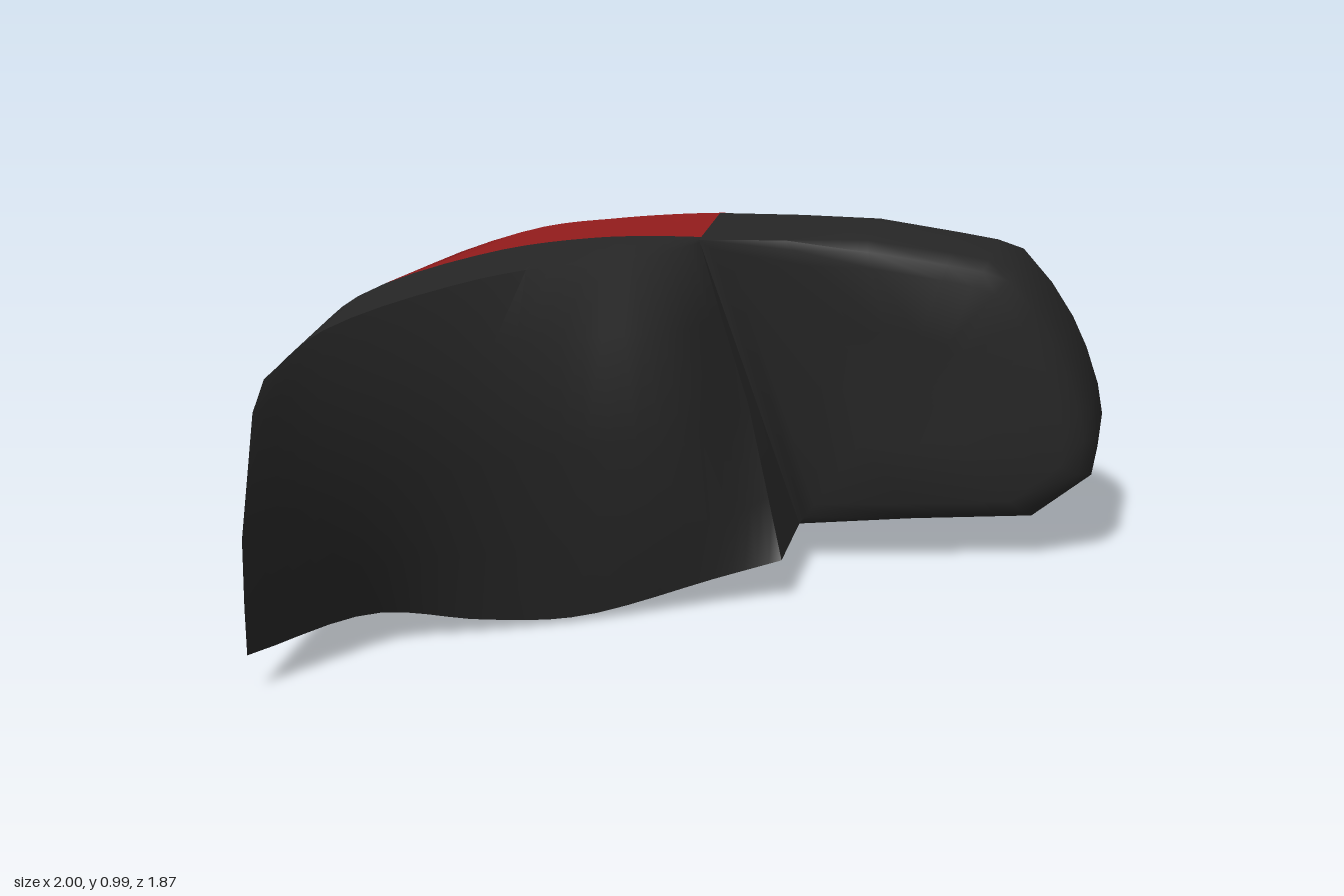
import * as THREE from 'three';
import { toCreasedNormals } from 'three/addons/utils/BufferGeometryUtils.js';

const V = (p) => new THREE.Vector3(...p);

// Surface through rows of points; every row has the same number of points
function skin(rows, closed = false) {
  const n = rows[0].length, index = [];
  for (let i = 0; i < rows.length - 1; i++) {
    for (let j = 0; j < (closed ? n : n - 1); j++) {
      const k = (j + 1) % n;
      const a = i * n + j, b = i * n + k, c = a + n, d = b + n;
      index.push(a, b, c, b, d, c);
    }
  }
  const geo = new THREE.BufferGeometry().setFromPoints(rows.flat());
  geo.setIndex(index);
  return toCreasedNormals(geo, 1.05);
}

// Fan that closes a loop of points
function cap(points) {
  const mid = points.reduce((s, p) => s.add(p), new THREE.Vector3()).divideScalar(points.length);
  const geo = new THREE.BufferGeometry().setFromPoints([...points, mid]);
  const n = points.length;
  geo.setIndex(points.flatMap((_, i) => [i, (i + 1) % n, n]));
  return toCreasedNormals(geo, 0.65);
}

// Rails run along the arm cover, from the outer tip to the seam
const rail = {
  topSeam: [[-.89, .85, .58], [-.8, .94, .4], [-.53, .985, .03], [-.3, .985, -.17], [-.15, .972, -.27], [-.05, .96, -.33]],
  shoulder: [[-.885, .86, .88], [-.8, .932, .71], [-.53, .975, .32], [-.3, .968, .04], [-.15, .955, -.1], [-.05, .95, -.31]],
  upper: [[-.9, .79, .93], [-.8, .8, .745], [-.53, .82, .4], [-.3, .8, .185], [-.08, .78, .01], [.01, .75, -.3]],
  frontMid: [[-.96, .45, .87], [-.8, .5, .65], [-.53, .5, .36], [-.3, .5, .18], [-.03, .5, 0], [.085, .5, -.31]],
  frontBase: [[-.985, .25, .8], [-.78, .27, .5], [-.52, .24, .28], [-.3, .23, .14], [.03, .25, -.06], [.155, .26, -.29]],
  frontLow: [[-1, .105, .75], [-.77, .1, .38], [-.53, .04, .22], [-.3, .018, .09], [.04, .085, -.09], [.2, .12, -.16]],
  lowSeam: [[-1, .105, .4], [-.79, .1, .06], [-.55, .04, -.2], [-.35, .015, -.37], [0, .075, -.45], [.2, .12, -.5]],
  backLow: [[-1, .105, .08], [-.75, .095, -.3], [-.42, .003, -.635], [-.28, .025, -.695], [0, .08, -.765], [.18, .12, -.805]],
  backMid: [[-.95, .5, .19], [-.78, .5, -.165], [-.51, .5, -.5], [-.3, .5, -.62], [-.08, .5, -.705], [.08, .52, -.745]],
  backTop: [[-.9, .8, .27], [-.78, .9, .03], [-.5, .965, -.33], [-.3, .972, -.46], [-.15, .965, -.57], [-.04, .955, -.65]],
};

function loftRows(names, steps = 24) {
  const curves = names.map((n) => new THREE.CatmullRomCurve3(rail[n].map(V), false, 'centripetal'));
  return Array.from({ length: steps + 1 }, (_, i) => curves.map((c) => c.getPoint(i / steps)));
}

// Outline of the mirror head, clockwise from the front
const outline = [[-.05, .96], [.17, .95], [.38, .935], [.6, .89], [.7, .868], [.77, .84], [.85, .74],
  [.91, .64], [.95, .55], [.985, .44], [1, .35], [.99, .25], [.83, .13], [.5, .12], [.2, .12]];
const centre = [.48, .52];
const frontZ = (x, y) => -.31 - .285 * x - .14 * (1 - x) * (.96 - y);
const backZ = (x, y) => -.635 - .27 * x - .14 * (1 - .7 * x * x) * (.96 - y);
// The front rim rolls back, fading out towards the seam
const rolled = (depth) => (x, y) => frontZ(x, y) - depth * THREE.MathUtils.smoothstep(x, .05, .5);

// Slab with the head's outline; each layer is [scale, depth rule], front to back
function slab(layers) {
  return skin(layers.map(([s, depth]) => outline.map(([px, py]) => {
    const x = centre[0] + (px - centre[0]) * s, y = centre[1] + (py - centre[1]) * s;
    return new THREE.Vector3(x, y, depth(x, y));
  })), true);
}

export function createModel() {
  const group = new THREE.Group();
  const material = (name, color) => {
    const m = new THREE.MeshStandardMaterial({ color, side: THREE.DoubleSide });
    m.name = name;
    return m;
  };
  const black = material('black plastic', 0x262626);
  const red = material('red paint', 0x941c1c);
  const grey = material('mirror grey', 0xc0c5c9);
  const add = (name, geo, mat) => {
    const mesh = new THREE.Mesh(geo, mat);
    mesh.name = name;
    group.add(mesh);
  };

  // Black front shell with closed ends
  const front = loftRows(['topSeam', 'shoulder', 'upper', 'frontMid', 'frontBase', 'frontLow', 'lowSeam']);
  add('frontShell', skin(front), black);
  add('frontShellTip', cap([...front[0]].reverse()), black);
  add('frontShellEnd', cap(front.at(-1)), black);

  // Red painted rear cover
  const rear = loftRows(['lowSeam', 'backLow', 'backMid', 'backTop', 'topSeam']);
  add('rearCover', skin(rear), red);
  add('rearCoverTip', cap([...rear[0]].reverse()), red);
  add('rearCoverEnd', cap(rear.at(-1)), red);

  // Mirror head and its glass
  add('mirrorHousing', slab([[0, frontZ], [.4, frontZ], [.84, frontZ], [.94, rolled(.02)], [1, rolled(.07)],
    [1, backZ], [.7, backZ], [.35, backZ], [0, backZ]]), black);
  const glassFront = (x, y) => backZ(x, y) - .001;
  const glassBack = (x, y) => backZ(x, y) - .009;
  add('mirrorGlass', slab([[0, glassFront], [.99, glassFront], [.99, glassBack],
    [.7, glassBack], [.35, glassBack], [0, glassBack]]), grey);

  // Centre on x and z, stand on y = 0
  const box = new THREE.Box3().setFromObject(group);
  const mid = box.getCenter(new THREE.Vector3());
  group.children.forEach((m) => m.position.set(-mid.x, -box.min.y, -mid.z));
  return group;
}
